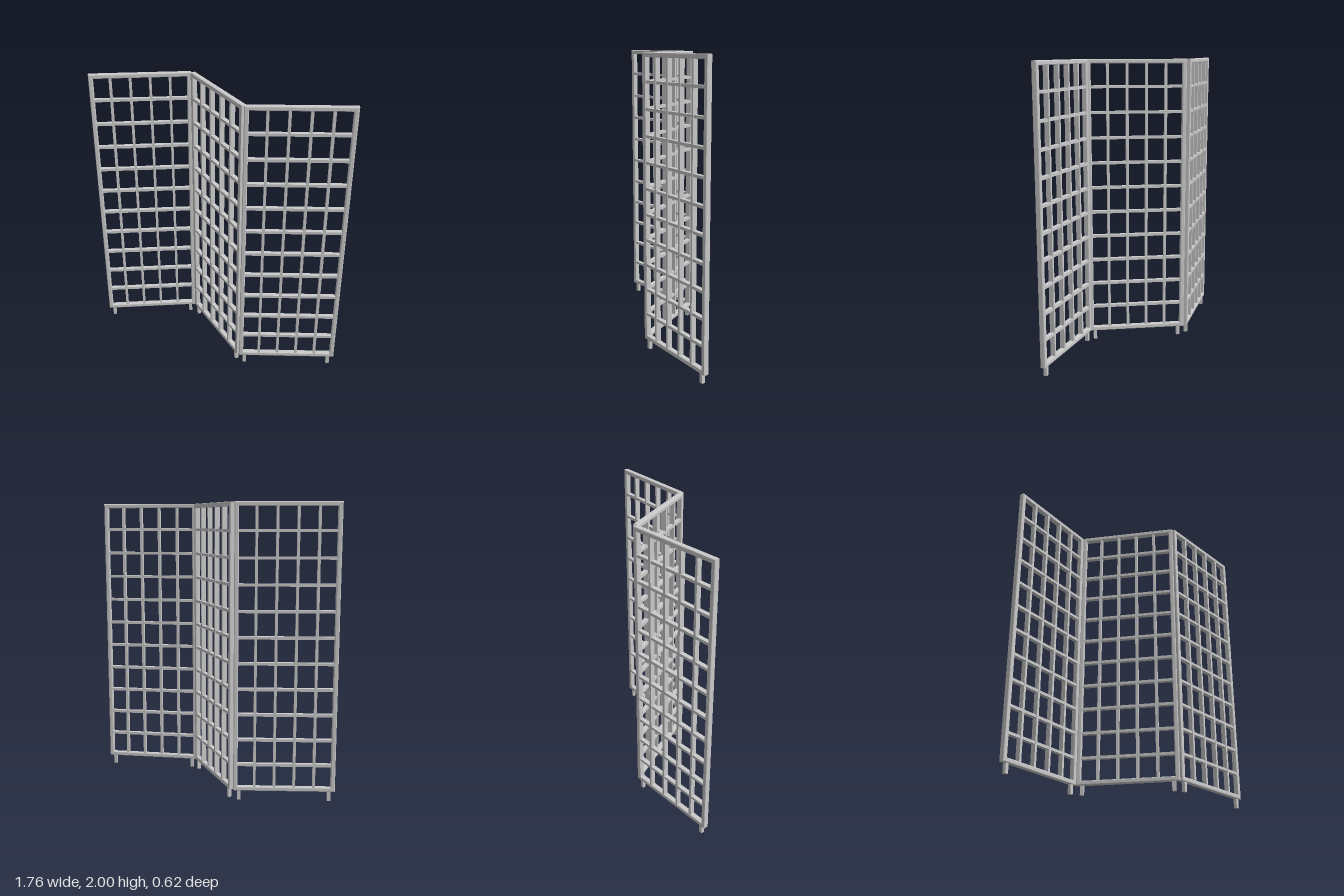
import * as THREE from 'three';

const W = 0.69, BOTTOM = 0.065, TOP = 2, DEPTH = 0.038, BEVEL = 0.006, BORDER = 0.03;
const material = new THREE.MeshStandardMaterial({ color: 0xcccccc });

function add(parent, name, geometry, x, y, z) {
  const mesh = new THREE.Mesh(geometry, material);
  mesh.name = name;
  mesh.position.set(x, y, z);
  parent.add(mesh);
}

// Rectangle inset from the panel outline
function rectangle(path, inset) {
  const x = W / 2 - inset, y0 = BOTTOM + inset, y1 = TOP - inset;
  path.moveTo(-x, y0);
  path.lineTo(x, y0);
  path.lineTo(x, y1);
  path.lineTo(-x, y1);
  path.closePath();
  return path;
}

// Chamfered outer frame with one large opening
function frameGeometry() {
  const shape = rectangle(new THREE.Shape(), BEVEL);
  shape.holes.push(rectangle(new THREE.Path(), BORDER - BEVEL));
  const geometry = new THREE.ExtrudeGeometry(shape, {
    depth: DEPTH - 2 * BEVEL, bevelEnabled: true,
    bevelSize: BEVEL, bevelThickness: BEVEL, bevelSegments: 2,
  });
  return geometry.translate(0, 0, -DEPTH / 2 + BEVEL);
}

function createPanel(name) {
  const panel = new THREE.Group();
  panel.name = name;
  add(panel, 'frame', frameGeometry(), 0, 0, 0);

  // Lattice: four uprights and ten crossbars
  const upright = new THREE.BoxGeometry(0.018, TOP - BOTTOM - BORDER, 0.033);
  for (let i = 0; i < 4; i++) {
    add(panel, 'latticeUpright', upright, (i - 1.5) * 0.134, (TOP + BOTTOM) / 2, 0);
  }
  const crossbar = new THREE.BoxGeometry(W - BORDER, 0.019, 0.03);
  for (let i = 0; i < 10; i++) {
    add(panel, 'latticeCrossbar', crossbar, 0, 0.249 + i * 0.174, 0);
  }

  // Short square feet
  const foot = new THREE.BoxGeometry(0.024, BOTTOM + 0.01, 0.024);
  for (const side of [-1, 1]) {
    add(panel, 'foot', foot, side * 0.305, (BOTTOM + 0.01) / 2, 0);
  }
  return panel;
}

export function createModel() {
  const model = new THREE.Group();
  model.name = 'foldingScreen';
  // Three panels in a zigzag: name, centre x, centre z, turn in degrees
  const layout = [
    ['rightPanel', -0.541, -0.24, 9.65],
    ['middlePanel', 0, -0.002, -56.7],
    ['leftPanel', 0.534, 0.267, 3.5],
  ];
  for (const [name, x, z, turn] of layout) {
    const panel = createPanel(name);
    panel.position.set(x, 0, z);
    panel.rotation.y = THREE.MathUtils.degToRad(turn);
    model.add(panel);
  }
  return model;
}
